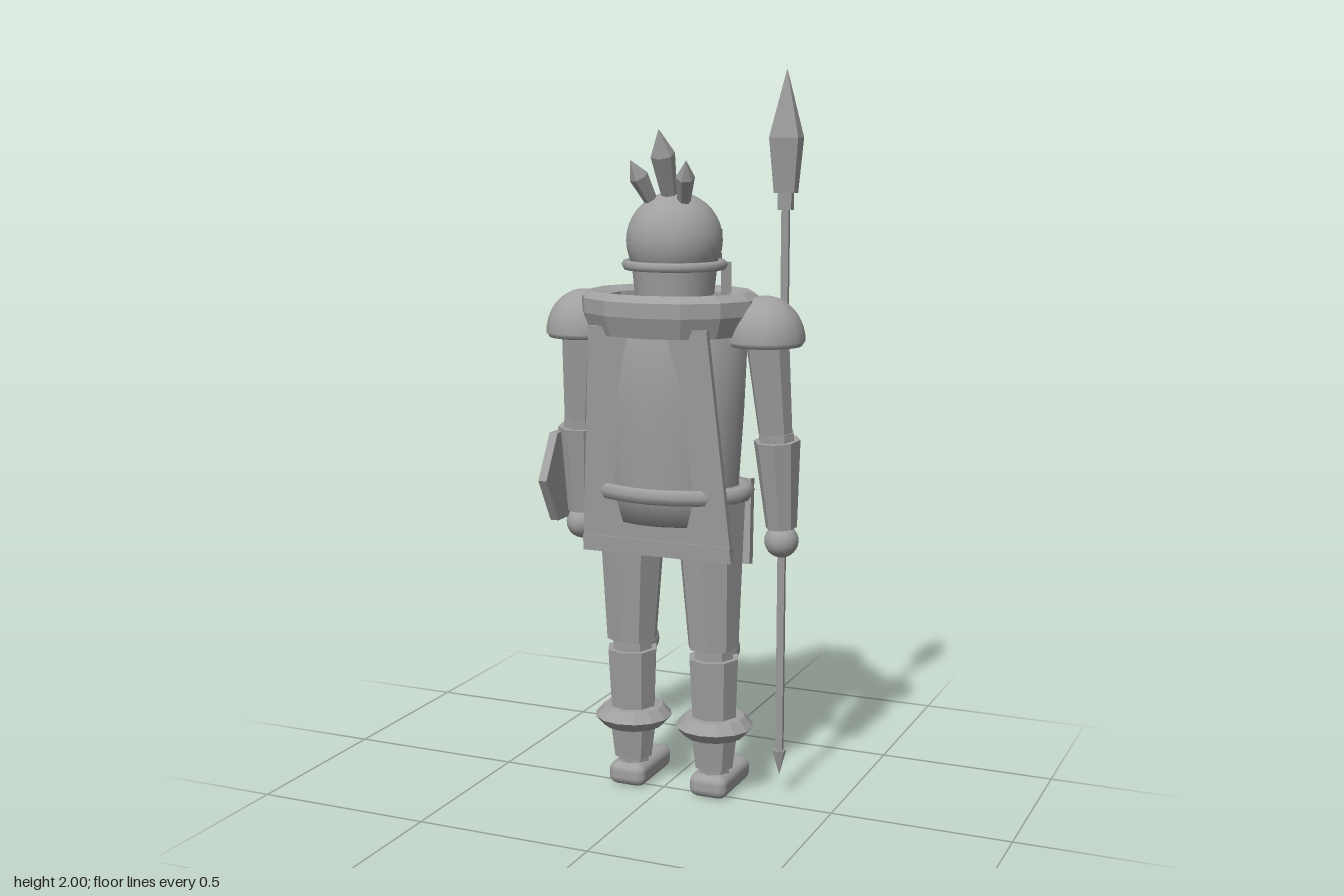
import * as THREE from 'three';
import { RoundedBoxGeometry } from 'three/addons/geometries/RoundedBoxGeometry.js';

const grey = new THREE.MeshStandardMaterial({ color: 0xa0a0a0, side: THREE.DoubleSide });
grey.name = 'stone grey';

const V = (x, y, z) => new THREE.Vector3(x, y, z);
const UP = V(0, 1, 0);

// Faceted normals for the low-poly parts
function faceted(geo) {
  const g = geo.index ? geo.toNonIndexed() : geo;
  g.computeVertexNormals();
  return g;
}

function add(parent, name, geo, x = 0, y = 0, z = 0) {
  const mesh = new THREE.Mesh(geo, grey);
  mesh.name = name;
  mesh.position.set(x, y, z);
  parent.add(mesh);
  return mesh;
}

const box = (parent, name, w, h, d, x, y, z) => add(parent, name, new THREE.BoxGeometry(w, h, d), x, y, z);
const ball = (parent, name, r, x, y, z) => add(parent, name, new THREE.SphereGeometry(r, 20, 14), x, y, z);

// Faceted tapered rod from point a to point b
function rod(parent, name, a, b, ra, rb, sides = 8) {
  const dir = b.clone().sub(a);
  const geo = faceted(new THREE.CylinderGeometry(rb, ra, dir.length(), sides));
  const mesh = add(parent, name, geo);
  mesh.position.copy(a).add(b).multiplyScalar(0.5);
  mesh.quaternion.setFromUnitVectors(UP, dir.normalize());
  return mesh;
}

// Horizontal ring
function ring(parent, name, r, tube, x, y, z, depth = 1, tubeSides = 6, sides = 20) {
  const geo = new THREE.TorusGeometry(r, tube, tubeSides, sides).rotateX(Math.PI / 2).scale(1, 1, depth);
  return add(parent, name, geo, x, y, z);
}

const lathe = (pts, sides) => new THREE.LatheGeometry(pts.map(p => new THREE.Vector2(...p)), sides);

function addTorso(body) {
  const torso = lathe([[0, 0.79], [0.17, 0.79], [0.19, 0.87], [0.205, 1.1], [0.215, 1.34], [0.15, 1.35], [0, 1.35]], 28);
  add(body, 'torso', torso.scale(1, 1, 0.8).toNonIndexed());
  const collar = lathe([[0.16, 1.33], [0.23, 1.305], [0.252, 1.36], [0.252, 1.4], [0.225, 1.418], [0.17, 1.405], [0.16, 1.33]], 14);
  add(body, 'collar', faceted(collar.scale(1, 1, 0.85)));
  ring(body, 'belt', 0.215, 0.024, 0, 0.875, 0, 0.7);

  // Chest strap, medallion and buckle
  box(body, 'chestStrap', 0.025, 0.39, 0.022, 0, 1.14, -0.18);
  rod(body, 'medallion', V(0, 1.215, -0.17), V(0, 1.215, -0.203), 0.042, 0.042, 6);
  box(body, 'beltBuckle', 0.065, 0.065, 0.04, 0, 0.875, -0.168);

  // Hanging hip plates
  for (const s of [-1, 1]) {
    const plate = box(body, 'hipPlate', 0.15, 0.24, 0.025, s * 0.108, 0.76, -0.148);
    plate.rotation.set(-0.14, 0, s * 0.04);
  }

  // Cape, leaning in towards the hem
  const shape = new THREE.Shape([[-0.17, 1.33], [-0.22, 0.7], [0.22, 0.7], [0.17, 1.33]]
    .map(([x, y]) => new THREE.Vector2(x, y)));
  const cape = new THREE.ExtrudeGeometry(shape, { depth: 0.018, bevelEnabled: false });
  const hem = new THREE.BoxGeometry(0.435, 0.045, 0.026).translate(0, 0.722, 0.009);
  for (const [name, geo] of [['cape', cape], ['capeHem', hem]]) {
    const p = geo.attributes.position;
    for (let i = 0; i < p.count; i++) p.setZ(i, p.getZ(i) + 0.085 + (p.getY(i) - 0.7) * 0.1);
    geo.computeVertexNormals();
    add(body, name, geo);
  }
}

function addHead(body) {
  rod(body, 'neck', V(0, 1.32, -0.02), V(0, 1.45, -0.02), 0.085, 0.09, 12);
  add(body, 'head', new THREE.SphereGeometry(0.131, 28, 18), 0, 1.55, -0.022);
  add(body, 'jaw', new THREE.CylinderGeometry(0.118, 0.108, 0.09, 20), 0, 1.45, -0.022);
  ring(body, 'helmetBrim', 0.131, 0.014, 0, 1.485, -0.022);

  // Visor grille
  for (const y of [1.5, 1.565]) box(body, 'visorBar', 0.16, 0.018, 0.025, 0, y, -0.158);
  for (const x of [-0.06, 0.06]) box(body, 'visorPost', 0.018, 0.1, 0.025, x, 1.53, -0.16);
  box(body, 'noseGuard', 0.022, 0.13, 0.03, 0, 1.525, -0.165);
  for (const s of [-1, 1]) {
    const guard = box(body, 'cheekGuard', 0.035, 0.11, 0.016, s * 0.118, 1.435, -0.105);
    guard.rotation.y = -s * 0.8;
  }

  // Crest of three plumes
  const plume = (a, b, r) => {
    const neck = a.clone().lerp(b, 0.68);
    rod(body, 'plume', a, neck, r * 0.55, r, 6);
    rod(body, 'plumeTip', neck, b, r, 0.001, 6);
  };
  plume(V(0, 1.64, 0.0), V(0, 1.845, 0.085), 0.033);
  for (const s of [-1, 1]) plume(V(s * 0.04, 1.63, 0.01), V(s * 0.08, 1.765, 0.09), 0.026);
}

function addArm(body, s) {
  const dome = new THREE.SphereGeometry(0.108, 20, 10, 0, Math.PI * 2, 0, Math.PI / 2).scale(1, 1.12, 1);
  add(body, 'shoulderDome', dome, s * 0.267, 1.29, -0.012);
  ring(body, 'shoulderRim', 0.09, 0.017, s * 0.267, 1.293, -0.012);
  rod(body, 'upperArm', V(s * 0.272, 1.31, -0.012), V(s * 0.293, 1.02, -0.035), 0.061, 0.046);
  rod(body, 'elbow', V(s * 0.293, 1.04, -0.035), V(s * 0.295, 1.0, -0.037), 0.05, 0.05);
  rod(body, 'forearm', V(s * 0.295, 1.02, -0.037), V(s * 0.302, 0.775, -0.06), 0.064, 0.043);
  ball(body, 'hand', 0.047, s * 0.302, 0.737, -0.062);
}

function addLeg(body, s) {
  const x = s * 0.124;
  rod(body, 'thigh', V(s * 0.115, 0.85, 0.0), V(x, 0.43, -0.01), 0.1, 0.072);
  rod(body, 'kneeJoint', V(x, 0.44, -0.012), V(x, 0.39, -0.012), 0.058, 0.058);
  ball(body, 'kneeCap', 0.052, x, 0.41, -0.073);
  rod(body, 'greave', V(x, 0.4, -0.012), V(x, 0.2, -0.018), 0.073, 0.064);
  add(body, 'ankleRing', faceted(lathe([[0.06, 0.17], [0.085, 0.172], [0.11, 0.2], [0.085, 0.228], [0.06, 0.23]], 14)), x, 0, -0.02);
  rod(body, 'shin', V(x, 0.19, -0.018), V(x, 0.08, -0.018), 0.07, 0.056);
  rod(body, 'ankle', V(x, 0.09, -0.018), V(x, 0.05, -0.02), 0.045, 0.045);
  add(body, 'foot', new RoundedBoxGeometry(0.112, 0.066, 0.215, 2, 0.025), x, 0.033, -0.064);
}

function addShield(group) {
  // Hexagonal plates stacked along x
  const disc = (name, r, x0, x1) => {
    const geo = new THREE.CylinderGeometry(r, r, x1 - x0, 6).rotateZ(Math.PI / 2);
    add(group, name, faceted(geo), (x0 + x1) / 2, 0.88, -0.045);
  };
  disc('shield', 0.145, -0.338, -0.313);
  disc('shieldFace', 0.112, -0.346, -0.336);
  const boss = new THREE.ConeGeometry(0.037, 0.055, 6).rotateZ(Math.PI / 2);
  add(group, 'shieldBoss', faceted(boss), -0.373, 0.88, -0.045);
}

function addSpear(group) {
  const parts = [
    ['spearSpike', 0.065, 0.135, 0.001, 0.02],
    ['spearShaft', 0.13, 1.66, 0.012, 0.012],
    ['spearSocket', 1.635, 1.685, 0.022, 0.022],
    ['spearBlade', 1.68, 1.825, 0.033, 0.047],
    ['spearPoint', 1.825, 2.0, 0.047, 0.001],
  ];
  for (const [name, y0, y1, r0, r1] of parts) {
    rod(group, name, V(0.323, y0, -0.068), V(0.323, y1, -0.068), r0, r1, 6);
  }
}

export function createModel() {
  const model = new THREE.Group();
  model.name = 'guard';
  const body = new THREE.Group();
  body.name = 'body';
  body.position.x = 0.022;
  model.add(body);
  addTorso(body);
  addHead(body);
  for (const s of [-1, 1]) {
    addArm(body, s);
    addLeg(body, s);
  }
  addShield(model);
  addSpear(model);
  return model;
}
